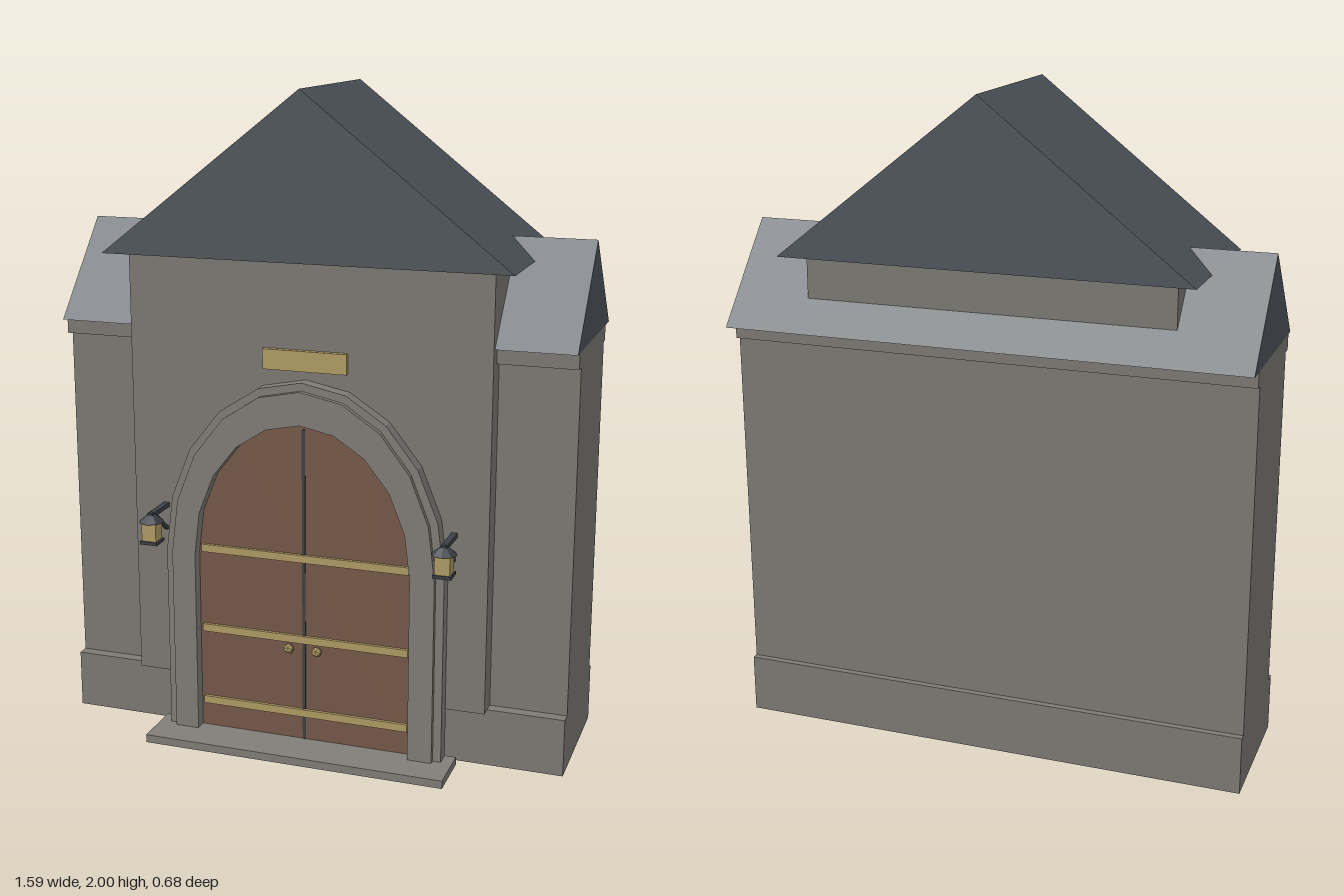
import * as THREE from 'three';

const mat = (name, color) => {
  const m = new THREE.MeshStandardMaterial({ color });
  m.name = name;
  return m;
};

export function createModel() {
  const stone = mat('stone', 0x7e7b75);
  const trim = mat('trim stone', 0x827f79);
  const slate = mat('slate', 0x50565d);
  const wood = mat('wood', 0x775a4a);
  const brass = mat('brass', 0xb29e66);
  const iron = mat('iron', 0x3c4147);

  const model = new THREE.Group();
  model.name = 'gatehouse';

  const add = (name, geometry, material, parent = model) => {
    const mesh = new THREE.Mesh(geometry, material);
    mesh.name = name;
    parent.add(mesh);
    return mesh;
  };
  // Box given by its limits on each axis
  const box = (name, material, [x0, x1], [y0, y1], [z0, z1], parent) => {
    const g = new THREE.BoxGeometry(x1 - x0, y1 - y0, z1 - z0);
    g.translate((x0 + x1) / 2, (y0 + y1) / 2, (z0 + z1) / 2);
    return add(name, g, material, parent);
  };
  const extrude = (shape, z0, z1) => {
    const g = new THREE.ExtrudeGeometry(shape, { depth: z1 - z0, bevelEnabled: false });
    return g.translate(0, 0, z0);
  };
  // Triangular prism lying along z
  const gable = (halfWidth, y0, y1, z0, z1) => extrude(new THREE.Shape([
    new THREE.Vector2(-halfWidth, y0),
    new THREE.Vector2(halfWidth, y0),
    new THREE.Vector2(0, y1),
  ]), z0, z1);
  // Faceted arch outline: straight jambs, then a half ellipse
  const floor = 0.025, spring = 0.6;
  const archPoints = (halfWidth, top) => {
    const pts = [new THREE.Vector2(halfWidth, floor)];
    for (let i = 0; i <= 10; i++) {
      const a = (Math.PI * i) / 10;
      pts.push(new THREE.Vector2(halfWidth * Math.cos(a), spring + (top - spring) * Math.sin(a)));
    }
    pts.push(new THREE.Vector2(-halfWidth, floor));
    return pts;
  };
  const doorOutline = archPoints(0.34, 1.035);
  const archBand = (halfWidth, top) =>
    new THREE.Shape([...archPoints(halfWidth, top), ...doorOutline.slice().reverse()]);

  // Long wall with plinth and cornice
  const span = [-0.795, 0.795];
  box('plinth', stone, span, [0, 0.18], [-0.28, 0.15]);
  box('wall', stone, span, [0.18, 1.24], [-0.26, 0.115]);
  box('cornice', stone, span, [1.24, 1.287], [-0.28, 0.145]);
  const wallRoof = gable(0.257, 1.287, 1.573, -0.795, 0.795);
  wallRoof.rotateY(Math.PI / 2).translate(0, 0, -0.083);
  add('wallRoof', wallRoof, slate);

  // Projecting central bay and its gabled roof
  box('centralBay', stone, [-0.56, 0.56], [0.18, 1.51], [-0.259, 0.185]);
  add('mainRoof', gable(0.625, 1.51, 2, -0.322, 0.235), slate);
  box('plaque', brass, [-0.13, 0.13], [1.187, 1.248], [0.18, 0.202]);

  // Doorway
  box('doorstep', trim, [-0.475, 0.475], [0, floor], [0.18, 0.343]);
  add('outerArch', extrude(archBand(0.44, 1.16), 0.18, 0.228), trim);
  add('innerArch', extrude(archBand(0.415, 1.136), 0.18, 0.245), trim);
  add('doors', extrude(new THREE.Shape(doorOutline), 0.18, 0.208), wood);
  box('doorGap', iron, [-0.005, 0.005], [floor, 1.015], [0.2, 0.211]);
  for (const y of [0.113, 0.354, 0.614]) {
    box('doorStrap', brass, [-0.33, 0.33], [y - 0.012, y + 0.012], [0.2, 0.218]);
  }

  for (const side of [-1, 1]) {
    const knob = add('doorKnob', new THREE.IcosahedronGeometry(0.017, 0), brass);
    knob.position.set(side * 0.045, 0.323, 0.222);

    // Wall lantern on a braced bracket
    const lantern = new THREE.Group();
    lantern.name = 'lantern';
    lantern.position.set(side * 0.457, 0, 0.298);
    model.add(lantern);
    box('lanternGlass', brass, [-0.023, 0.023], [0.652, 0.715], [-0.023, 0.023], lantern);
    box('lanternBase', iron, [-0.028, 0.028], [0.643, 0.653], [-0.028, 0.028], lantern);
    const cap = new THREE.ConeGeometry(0.039, 0.032, 8).toNonIndexed();
    cap.computeVertexNormals();
    add('lanternCap', cap, iron, lantern).position.y = 0.726;
    box('bracketArm', iron, [-0.009, 0.009], [0.724, 0.738], [-0.115, 0.01], lantern);
    const brace = add('bracketBrace', new THREE.BoxGeometry(0.012, 0.011, 0.115), iron, lantern);
    brace.position.set(0, 0.692, -0.062);
    brace.rotation.x = -0.66;
  }

  return model;
}
